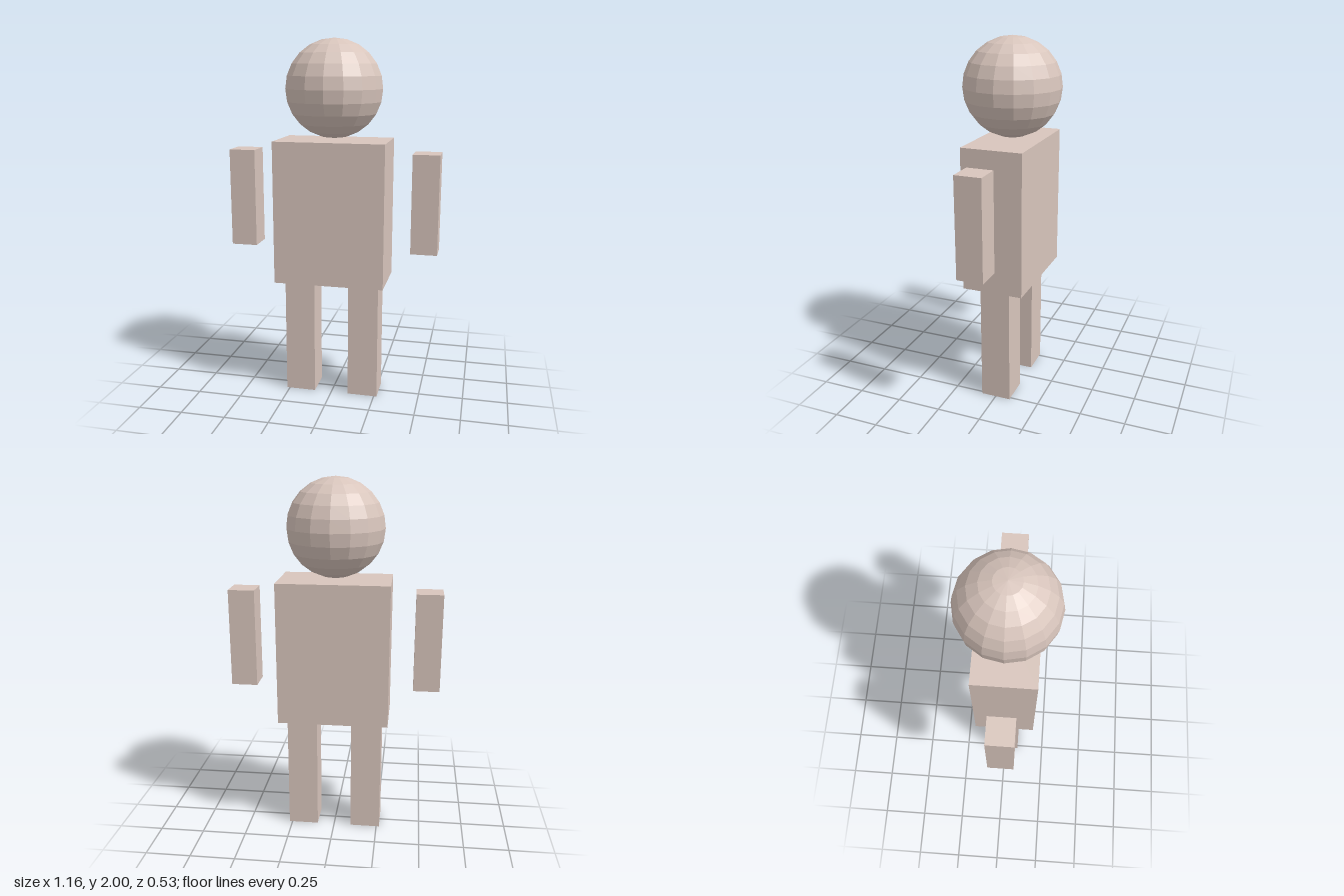
import * as THREE from 'three';

export function createModel() {
  const model = new THREE.Group();
  model.name = 'blockFigure';
  const skin = new THREE.MeshStandardMaterial({ color: 0xd8c5bc, flatShading: true });

  const add = (name, geometry, x, y) => {
    const mesh = new THREE.Mesh(geometry, skin);
    mesh.name = name;
    mesh.position.set(x, y, 0);
    model.add(mesh);
  };

  // Box standing between two heights
  const block = (name, x, bottom, top, width, depth) =>
    add(name, new THREE.BoxGeometry(width, top - bottom, depth), x, (bottom + top) / 2);

  // Faceted head floating just above the torso
  add('head', new THREE.SphereGeometry(0.265, 16, 12), 0, 1.735);

  block('torso', 0, 0.673, 1.461, 0.61, 0.338);

  // Paired limbs; the arms float clear of the torso
  for (const [side, s] of [['left', 1], ['right', -1]]) {
    block(`${side}Arm`, s * 0.51, 0.857, 1.4, 0.145, 0.145);
    block(`${side}Leg`, s * 0.182, 0, 0.673, 0.169, 0.169);
  }

  return model;
}
